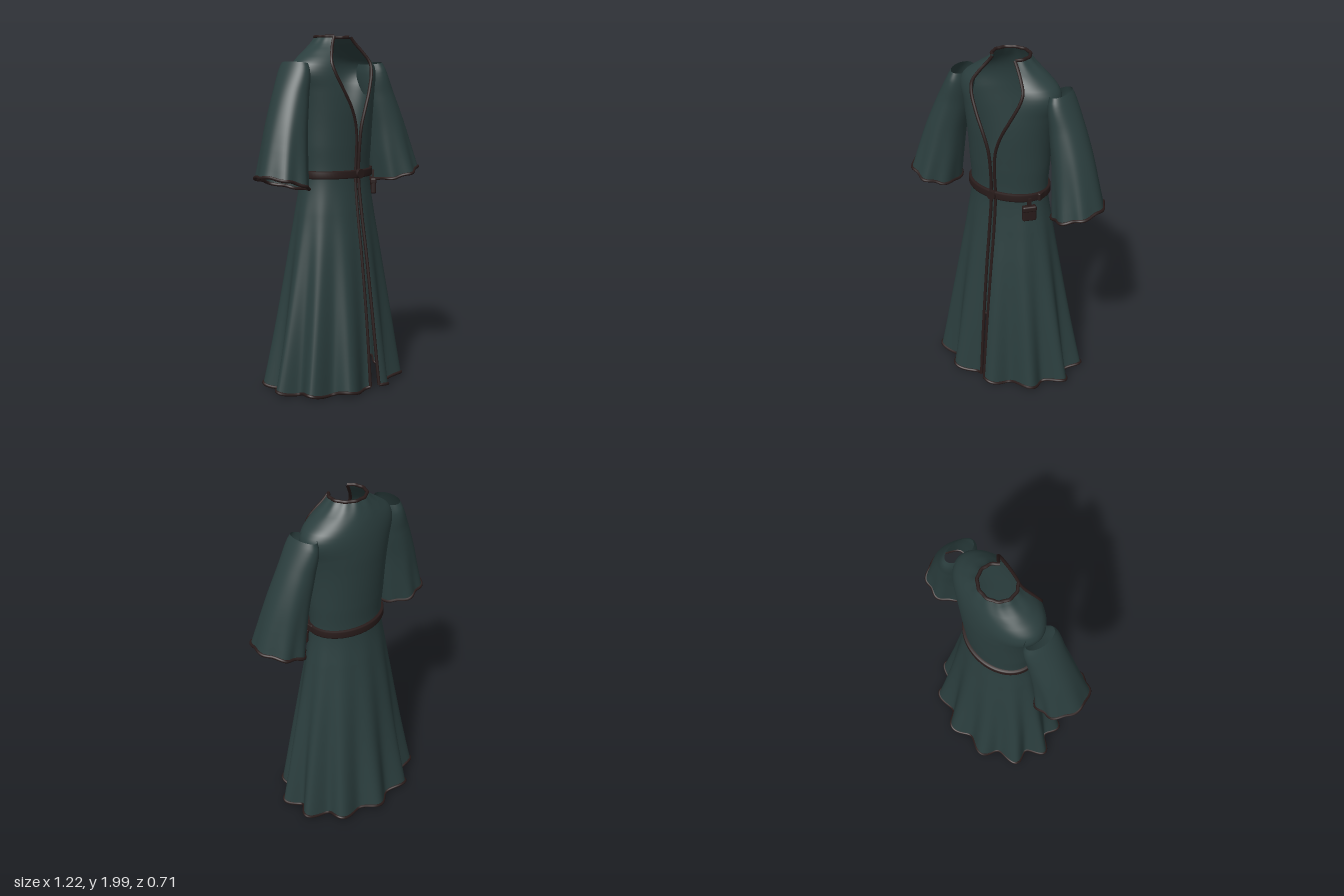
import * as THREE from 'three';
import { ParametricGeometry } from 'three/addons/geometries/ParametricGeometry.js';
import { RoundedBoxGeometry } from 'three/addons/geometries/RoundedBoxGeometry.js';

const cloth = new THREE.MeshStandardMaterial({ name: 'dark teal cloth', color: 0x2b3e3e, side: THREE.DoubleSide });
const trim = new THREE.MeshStandardMaterial({ name: 'dark brown trim', color: 0x281b1a });

// Smooth lookup in rows of [key, ...values] sorted by key
function table(rows) {
  const n = rows[0].length - 1;
  const spline = new THREE.CubicInterpolant(rows.map(r => r[0]), rows.flatMap(r => r.slice(1)), n, new Float32Array(n));
  return k => spline.evaluate(k);
}

// y: half width, front z, back z, half width of the front opening
const TOP = 1.99, HEM = 0.025, FOLDS = 11, FOLD_PHASE = 0.15;
const robeAt = table([
  [0.025, 0.420, 0.322, -0.318, 0.020],
  [0.40, 0.362, 0.282, -0.263, 0.018],
  [0.80, 0.296, 0.232, -0.211, 0.017],
  [1.00, 0.262, 0.203, -0.182, 0.016],
  [1.22, 0.230, 0.180, -0.155, 0.014],
  [1.40, 0.240, 0.188, -0.165, 0.014],
  [1.50, 0.246, 0.193, -0.171, 0.024],
  [1.60, 0.257, 0.196, -0.175, 0.058],
  [1.70, 0.276, 0.191, -0.176, 0.108],
  [1.80, 0.302, 0.175, -0.168, 0.152],
  [1.85, 0.280, 0.162, -0.159, 0.158],
  [1.90, 0.214, 0.140, -0.145, 0.132],
  [1.95, 0.142, 0.114, -0.123, 0.096],
  [1.99, 0.104, 0.092, -0.100, 0.068],
]);

// Point on the robe; u runs round the body from one front edge to the other
function robePoint(u, y, target) {
  const [a, front, back, gap] = robeAt(y);
  const open = Math.asin(gap / a);
  const phi = open + u * (Math.PI * 2 - 2 * open);
  const flare = Math.pow(Math.max(0, (1.25 - y) / 1.225), 1.4);
  const collar = Math.max(0, (y - 1.9) / 0.09);
  const fold = FOLDS * (phi - FOLD_PHASE);
  const s = 1 + 0.095 * flare * Math.cos(fold) + 0.02 * collar * Math.cos(FOLDS * phi);
  const drop = 0.01 * Math.pow(flare, 6) * Math.cos(fold + 0.8);
  return target.set(
    a * s * Math.sin(phi),
    y + drop,
    (front + back) / 2 + (front - back) / 2 * s * Math.cos(phi));
}

// Sleeve: t, outer x, outer y, inner x, inner y, centre z, half depth
const sleeveAt = table([
  [0.00, 0.355, 1.852, 0.262, 1.838, 0.003, 0.088],
  [0.04, 0.368, 1.830, 0.257, 1.800, 0.004, 0.102],
  [0.25, 0.440, 1.690, 0.270, 1.645, 0.015, 0.112],
  [0.50, 0.508, 1.530, 0.298, 1.475, 0.031, 0.124],
  [0.75, 0.556, 1.390, 0.314, 1.315, 0.045, 0.136],
  [1.00, 0.598, 1.248, 0.330, 1.168, 0.057, 0.152],
]);

function sleevePoint(side, u, t, target) {
  const [ox, oy, ix, iy, zc, depth] = sleeveAt(t);
  const a = u * Math.PI * 2, c = Math.cos(a), flare = t * t;
  const wave = flare * Math.cos(7 * a + 0.6);
  return target.set(
    side * ((ox + ix) / 2 + (ox - ix) / 2 * c * (1 + 0.03 * wave)),
    (oy + iy) / 2 + (oy - iy) / 2 * c + 0.003 * flare * Math.sin(7 * a),
    zc + depth * Math.sin(a) * (1 + 0.06 * wave));
}

function add(parent, name, geometry, material, x = 0, y = 0, z = 0) {
  const mesh = new THREE.Mesh(geometry, material);
  mesh.name = name;
  mesh.position.set(x, y, z);
  parent.add(mesh);
  return mesh;
}

// Rounded piping along a sampled edge
function piping(parent, name, pointAt, count, radius, closed = false) {
  const points = [];
  for (let i = 0; i <= count - (closed ? 1 : 0); i++) points.push(pointAt(i / count, new THREE.Vector3()));
  const curve = new THREE.CatmullRomCurve3(points, closed);
  return add(parent, name, new THREE.TubeGeometry(curve, count * 2, radius, 8, closed), trim);
}

export function createModel() {
  const model = new THREE.Group();
  model.name = 'robe';

  // Robe body with its hem, neck and front edges
  const yAt = v => HEM + v * (TOP - HEM);
  add(model, 'robeBody', new ParametricGeometry((u, v, p) => robePoint(u, yAt(v), p), 200, 90), cloth);
  piping(model, 'hemTrim', (u, p) => robePoint(u, HEM, p), 160, 0.009);
  piping(model, 'neckTrim', (u, p) => robePoint(u, TOP, p), 60, 0.009);
  for (const [name, u] of [['leftFrontTrim', 0], ['rightFrontTrim', 1]]) {
    piping(model, name, (v, p) => robePoint(u, yAt(v), p), 80, 0.009);
  }

  // Wide open sleeves with piped cuffs
  for (const [name, side] of [['left', 1], ['right', -1]]) {
    const sleeve = new THREE.Group();
    sleeve.name = name + 'Sleeve';
    add(sleeve, name + 'SleeveCloth', new ParametricGeometry((u, v, p) => sleevePoint(side, u, v, p), 72, 30), cloth);
    piping(sleeve, name + 'CuffTrim', (u, p) => sleevePoint(side, u, 1, p), 70, 0.009, true);
    model.add(sleeve);
  }

  // Belt band with buckle and end tab
  const band = [[0.9, -0.022], [0.985, -0.022], [1, -0.015], [1, 0.015], [0.985, 0.022], [0.9, 0.022]]
    .map(([r, y]) => new THREE.Vector2(r, y));
  add(model, 'belt', new THREE.LatheGeometry(band, 64), trim, 0, 1.232, 0.013).scale.set(0.245, 1, 0.185);
  const buckle = add(model, 'buckle', new THREE.CylinderGeometry(0.027, 0.027, 0.022, 12), trim, 0, 1.234, 0.2);
  buckle.rotation.x = Math.PI / 2;
  add(model, 'beltEnd', new RoundedBoxGeometry(0.02, 0.045, 0.05, 2, 0.006), trim, 0.233, 1.232, 0.06);

  // Flat pouch lying against the hip, hung from the belt
  const pouch = new THREE.Group();
  pouch.name = 'pouch';
  pouch.position.set(0.2, 1.145, 0.128);
  pouch.rotation.y = 0.8;
  add(pouch, 'pouchBag', new RoundedBoxGeometry(0.078, 0.092, 0.03, 3, 0.01), trim);
  add(pouch, 'pouchFlap', new RoundedBoxGeometry(0.08, 0.035, 0.036, 3, 0.01), trim, 0, 0.028, 0);
  add(pouch, 'pouchLoop', new THREE.BoxGeometry(0.022, 0.05, 0.012), trim, 0, 0.065, 0);
  model.add(pouch);

  return model;
}
